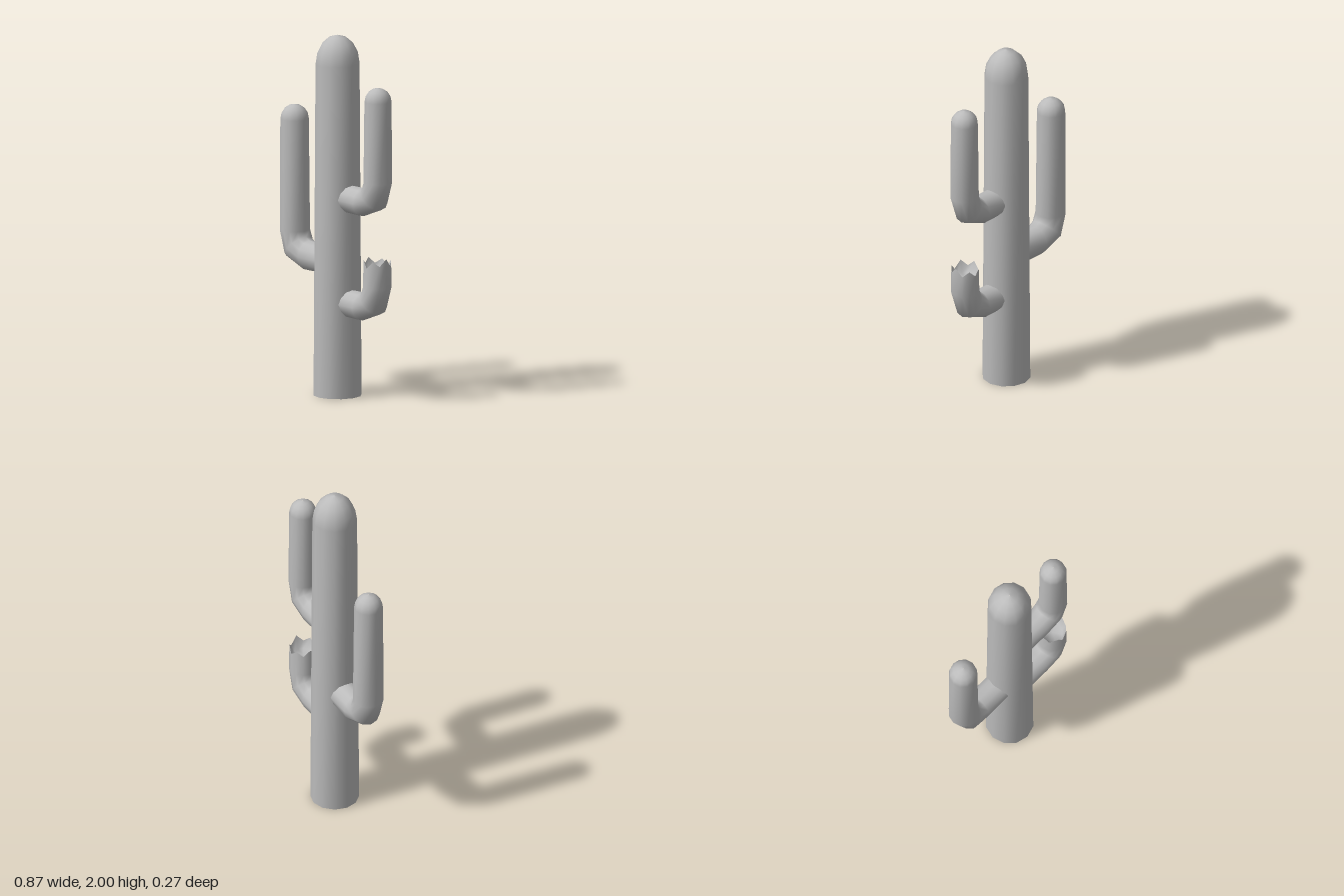
import * as THREE from 'three';

const SIDES = 12;
const UP = Math.PI / 2;

// One point of a ring [x, y, radius, heading]; the ring is square to its heading in the xy plane
function ringPoint([x, y, r, a], j) {
  const t = (j / SIDES) * Math.PI * 2;
  return [x - Math.sin(a) * r * Math.cos(t), y + Math.cos(a) * r * Math.cos(t), r * Math.sin(t)];
}

// Smooth skin through a list of rings; lift raises single points of the last ring
function loft(rings, lift) {
  const pos = [], idx = [];
  rings.forEach((ring, i) => {
    for (let j = 0; j < SIDES; j++) {
      const p = ringPoint(ring, j);
      if (lift && i === rings.length - 1) p[1] += lift[j];
      pos.push(...p);
      if (i === 0) continue;
      const k = (j + 1) % SIDES, lo = (i - 1) * SIDES, hi = i * SIDES;
      idx.push(lo + j, lo + k, hi + k, lo + j, hi + k, hi + j);
    }
  });
  return build(pos, idx);
}

function build(pos, idx) {
  const g = new THREE.BufferGeometry();
  g.setAttribute('position', new THREE.Float32BufferAttribute(pos, 3));
  g.setIndex(idx);
  g.computeVertexNormals();
  return g;
}

// Rounded end above a ring of radius r
function dome(x, y, r, height) {
  return [0, 0.25, 0.5, 0.75, 0.99].map((f) => {
    const a = f * UP;
    return [x, y + height * Math.sin(a), r * Math.cos(a), UP];
  });
}

// Elbow leaving the trunk sideways and turning upwards
function elbow(side, y, r) {
  const heading = (deg) => (side > 0 ? deg : 180 - deg) * Math.PI / 180;
  return [
    [side * 0.06, y, r * 0.98, heading(0)],
    [side * 0.232, y, r, heading(0)],
    [side * 0.321, y + 0.036, r * 1.06, heading(45)],
    [side * 0.354, y + 0.127, r * 1.02, UP],
  ];
}

export function createModel() {
  const model = new THREE.Group();
  model.name = 'cactus';
  const skin = new THREE.MeshStandardMaterial({ color: 0xbbbbbb });
  skin.name = 'plain grey';
  const add = (name, geometry, parent = model) => {
    const mesh = new THREE.Mesh(geometry, skin);
    mesh.name = name;
    parent.add(mesh);
    return mesh;
  };

  // Trunk, slightly tapered, with a flat underside
  add('trunk', loft([[0.01, 0, 0.133, UP], ...dome(0.01, 1.84, 0.122, 0.16)]));
  const base = add('trunkUnderside', new THREE.CircleGeometry(0.133, SIDES));
  base.rotation.x = Math.PI / 2;
  base.position.x = 0.01;

  // Whole arms
  add('rightArm', loft([...elbow(-1, 0.738, 0.082), ...dome(-0.357, 1.48, 0.079, 0.081)]));
  add('upperLeftArm', loft([...elbow(1, 1.103, 0.078), ...dome(0.355, 1.68, 0.075, 0.076)]));

  // Broken arm with a ragged rim and a hollow inside
  const broken = new THREE.Group();
  broken.name = 'brokenLeftArm';
  model.add(broken);
  const rim = [0.35, 0.77, 0.076, UP];
  const lift = [0.035, 0, 0.035, -0.01, 0.03, 0.005, 0.045, 0, 0.03, -0.005, 0.025, 0];
  const arm = elbow(1, 0.523, 0.078).map(([x, y, r, a]) => [x - 0.005, y, r, a]);
  add('brokenArmSkin', loft([...arm, rim], lift), broken);

  const pos = [], idx = [];
  for (let j = 0; j < SIDES; j++) {
    const p = ringPoint(rim, j);
    const q = ringPoint([rim[0], 0.735, 0.055, UP], j);
    const k = (j + 1) % SIDES;
    pos.push(p[0], p[1] + lift[j], p[2], ...q);
    idx.push(2 * j, 2 * k, 2 * k + 1, 2 * j, 2 * k + 1, 2 * j + 1);
    idx.push(2 * j + 1, 2 * k + 1, 2 * SIDES);
  }
  pos.push(rim[0], 0.73, 0);
  add('brokenArmHollow', build(pos, idx), broken);

  return model;
}
